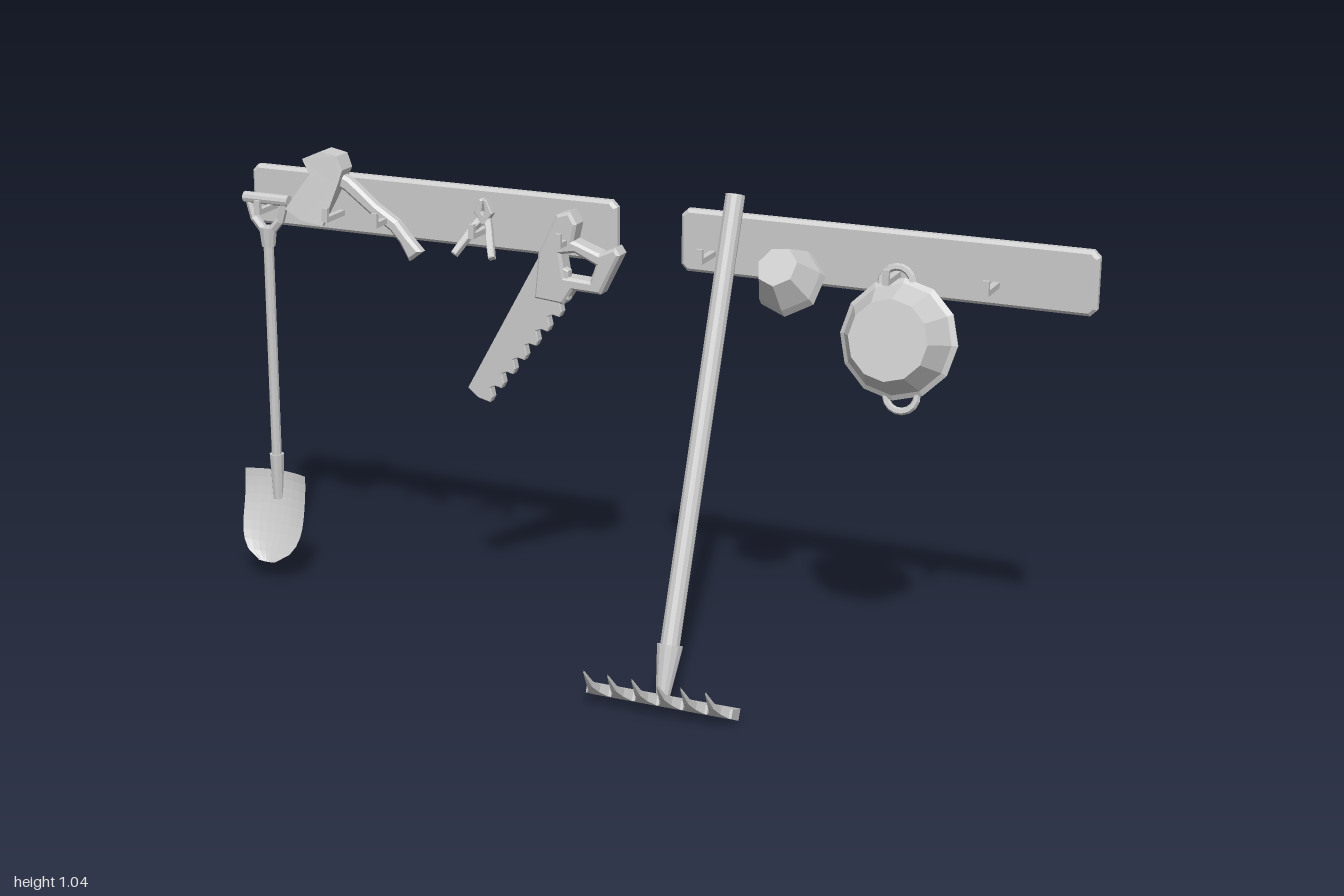
import * as THREE from 'three';

const V = (x, y, z) => new THREE.Vector3(x, y, z);
const material = new THREE.MeshStandardMaterial({ color: 0xcccccc, flatShading: true, side: THREE.DoubleSide });

function mesh(name, geometry) {
  const m = new THREE.Mesh(geometry, material);
  m.name = name;
  return m;
}

// Flat bevelled part, outlined in x/y and spanning z0 to z1
function plate(name, pts, z0, z1, bevel = 0.004, hole) {
  const shape = new THREE.Shape(pts.map(p => new THREE.Vector2(...p)));
  if (hole) shape.holes.push(new THREE.Path(hole.map(p => new THREE.Vector2(...p))));
  const g = new THREE.ExtrudeGeometry(shape, {
    depth: z1 - z0 - 2 * bevel, bevelEnabled: bevel > 0,
    bevelThickness: bevel, bevelSize: bevel, bevelOffset: -bevel, bevelSegments: 1,
  });
  return mesh(name, g.translate(0, 0, z0 + bevel));
}

// Outline of a bar of varying half width along a path of [x, y, halfWidth]
function strip(path) {
  const left = [], right = [];
  path.forEach(([x, y, w], i) => {
    const a = path[Math.max(i - 1, 0)], b = path[Math.min(i + 1, path.length - 1)];
    const l = Math.hypot(b[0] - a[0], b[1] - a[1]);
    const nx = -(b[1] - a[1]) / l * w, ny = (b[0] - a[0]) / l * w;
    left.push([x + nx, y + ny]);
    right.unshift([x - nx, y - ny]);
  });
  return [...right, ...left];
}

// Round bar between two points
function rod(name, a, b, ra, rb = ra, sides = 10) {
  const m = mesh(name, new THREE.CylinderGeometry(rb, ra, a.distanceTo(b), sides));
  m.position.copy(a).lerp(b, 0.5);
  m.quaternion.setFromUnitVectors(V(0, 1, 0), b.clone().sub(a).normalize());
  return m;
}

function warp(geometry, rule) {
  const p = geometry.attributes.position, v = V(0, 0, 0);
  for (let i = 0; i < p.count; i++) {
    rule(v.fromBufferAttribute(p, i));
    p.setXYZ(i, v.x, v.y, v.z);
  }
  geometry.computeVertexNormals();
  return geometry;
}

function group(name, ...children) {
  const g = new THREE.Group();
  g.name = name;
  if (children.length) g.add(...children);
  return g;
}

function plank(name, x0, x1) {
  const y0 = 0.848, y1 = 0.984, c = 0.014;
  return plate(name, [[x0 + c, y0], [x1 - c, y0], [x1, y0 + c], [x1, y1 - c],
    [x1 - c, y1], [x0 + c, y1], [x0, y1 - c], [x0, y0 + c]], -0.25, -0.223, 0.007);
}

function hook(x) {
  const bar = mesh('hookBar', new THREE.BoxGeometry(0.014, 0.012, 0.085).translate(x, 0.894, -0.186));
  const tip = mesh('hookTip', new THREE.BoxGeometry(0.014, 0.026, 0.009).translate(x, 0.907, -0.148));
  return group('hook', bar, tip);
}

function shovel() {
  const x = -0.918, z = -0.21;
  // Scooped blade: rounded toward the tip, curling forward
  const blade = warp(new THREE.PlaneGeometry(2, 1, 8, 10), v => {
    const u = v.x, t = 0.5 - v.y;
    const k = Math.max(0, (t - 0.5) / 0.5);
    const w = 0.081 * Math.sqrt(1 - 0.93 * k ** 2.6);
    v.set(x + u * w, 0.257 - t * 0.205 - 0.005 * (1 - u * u) * k,
      -0.217 + 0.062 * t ** 1.7 + 0.018 * u * u * (1 - 0.6 * t));
  });
  const g = group('shovel', mesh('shovelBlade', blade),
    rod('shovelShaft', V(x, 0.19, z), V(x, 0.83, z), 0.012),
    rod('shovelSocket', V(x, 0.19, z), V(x, 0.3, z), 0.012, 0.017),
    rod('gripCollar', V(x, 0.8, z), V(x, 0.845, z), 0.016, 0.021),
    rod('gripBar', V(x - 0.058, 0.91, z), V(x + 0.058, 0.91, z), 0.013));
  for (const s of [-1, 1]) {
    g.add(rod('gripArm', V(x + s * 0.008, 0.835, z), V(x + s * 0.035, 0.865, z), 0.011, 0.01, 6),
      rod('gripArm', V(x + s * 0.033, 0.86, z), V(x + s * 0.049, 0.912, z), 0.01, 0.009, 6));
  }
  return g;
}

function axe() {
  const head = plate('axeHead', [[-0.84, 0.905], [-0.80, 0.882], [-0.745, 0.875], [-0.715, 0.965],
    [-0.705, 1.0], [-0.72, 1.03], [-0.76, 1.038], [-0.805, 1.018], [-0.785, 0.985]], -1, 1, 0);
  // Wedge thinning toward the cutting edge, which leans forward
  warp(head.geometry, v => {
    const t = THREE.MathUtils.clamp(((v.x + 0.75) * -0.35 + (v.y - 1.03) * -0.94) / 0.15, 0, 1);
    v.z = -0.212 + 0.05 * t + v.z * (0.025 - 0.022 * t);
  });
  const handle = plate('axeHandle', strip([[-0.765, 0.995, 0.017], [-0.70, 0.965, 0.016],
    [-0.635, 0.915, 0.014], [-0.585, 0.883, 0.015], [-0.56, 0.855, 0.014], [-0.532, 0.818, 0.02]]), -0.222, -0.192, 0.007);
  return group('axe', head, handle);
}

function pliers() {
  const g = group('pliers');
  g.position.set(-0.354, 0.925, -0.19);
  for (const s of [-1, 1]) {
    const side = pts => strip(pts.map(([x, y, w]) => [s * x, y, w]));
    const jaw = plate('plierJaw', side([[-0.004, -0.01, 0.008], [0.013, 0.015, 0.009], [0.004, 0.043, 0.004]]), -0.01, 0.01, 0.002);
    const leg = plate('plierLeg', side([[0.002, 0.008, 0.009], [0.018, -0.022, 0.007],
      [0.028, -0.05, 0.008], [0.046, -0.093, 0.007]]), -0.008, 0.008, 0.002);
    leg.rotation.x = -0.68;
    g.add(jaw, leg);
  }
  g.add(rod('plierPivot', V(0, 0, -0.013), V(0, 0, 0.013), 0.01, 0.01, 8));
  return g;
}

function saw() {
  // Toothed edge from the tip up to the handle
  const edge = [], a = [-0.349, 0.513], b = [-0.15, 0.765], n = 7;
  for (let i = 0; i < n; i++) {
    for (const [f, d] of [[0, 0.008], [0.3, 0.005], [0.6, -0.012], [0.85, -0.006]]) {
      const t = (i + f) / n;
      edge.push([a[0] + (b[0] - a[0]) * t + d * 0.78, a[1] + (b[1] - a[1]) * t - d * 0.62]);
    }
  }
  const blade = plate('sawBlade', [[-0.398, 0.535], [-0.372, 0.515], ...edge, b, [-0.15, 0.83], [-0.218, 0.86]], -0.204, -0.182, 0.002);
  const handle = plate('sawHandle', [[-0.232, 0.76], [-0.162, 0.754], [-0.14, 0.788], [-0.073, 0.786],
    [-0.028, 0.877], [-0.039, 0.893], [-0.076, 0.876], [-0.138, 0.898], [-0.13, 0.935], [-0.146, 0.962],
    [-0.178, 0.952], [-0.222, 0.862]], -0.224, -0.178, 0.006,
  [[-0.167, 0.866], [-0.135, 0.872], [-0.085, 0.85], [-0.098, 0.813], [-0.158, 0.816]]);
  return group('saw', blade, handle);
}

function rake() {
  const x = 0.222, pitch = 0.0545, half = 0.165;
  // Comb drawn flat, then bent along a curved profile
  const comb = [[-half, 0], [half, 0], [half, 0.045]];
  for (let i = 5; i >= 0; i--) {
    const c = (i - 2.5) * pitch;
    comb.push([c + 0.024, 0.048], [c + 0.012, 0.07], [c + 0.006, 0.1], [c, 0.15],
      [c - 0.006, 0.1], [c - 0.012, 0.07], [c - 0.024, 0.048]);
  }
  comb.push([-half, 0.045]);
  const head = plate('rakeHead', comb, 0, 1, 0);
  const curve = [[0.133, 0.014], [0.18, 0.034], [0.22, 0.064], [0.253, 0.105], [0.253, 0.105]];
  warp(head.geometry, v => {
    const s = v.y / 0.05, i = Math.min(Math.floor(s), 3), f = s - i;
    const thick = (v.z - 0.5) * (0.026 - 0.007 * s);
    const [p, q] = [curve[i], curve[i + 1]];
    v.set(x + v.x, p[1] + (q[1] - p[1]) * f + thick * 0.9, p[0] + (q[0] - p[0]) * f - thick * 0.4);
  });
  return group('rake', head,
    rod('rakeHandle', V(x, 0.11, 0.125), V(x, 1.028, -0.215), 0.021, 0.021, 12),
    rod('rakeSocket', V(x, 0.025, 0.155), V(x, 0.135, 0.115), 0.014, 0.028, 12));
}

// Open vessel whose base faces along the given direction
function vessel(name, profile, sides, centre, facing) {
  const g = group(name, mesh(name + 'Wall', new THREE.LatheGeometry(profile.map(p => new THREE.Vector2(...p)), sides)));
  g.position.copy(centre);
  g.quaternion.setFromUnitVectors(V(0, 1, 0), facing.normalize());
  return g;
}

function basin() {
  const g = vessel('basin', [[0.125, -0.006], [0.127, 0.004], [0.116, 0.012], [0.085, 0.078], [0, 0.078]],
    12, V(0.602, 0.768, -0.18), V(0, 0.22, 0.97));
  for (const turn of [0.15, 0.15 + Math.PI]) {
    const ring = new THREE.TorusGeometry(0.034, 0.008, 6, 8, Math.PI);
    g.add(mesh('basinHandle', ring.rotateX(-Math.PI / 2).translate(0, 0, -0.115).rotateY(turn)));
  }
  return g;
}

export function createModel() {
  const model = group('gardenToolRack',
    plank('leftRail', 0.095, 0.998), plank('rightRail', -0.963, -0.055),
    shovel(), axe(), pliers(), saw(), rake(), basin(),
    vessel('cup', [[0.076, 0], [0.072, 0.02], [0.045, 0.082], [0, 0.082]], 7,
      V(0.364, 0.86, -0.18), V(-0.1, 0.55, 0.7)));
  for (const x of [-0.905, -0.73, -0.605, -0.365, -0.157, 0.17, 0.375, 0.58, 0.79]) model.add(hook(x));
  return model;
}
